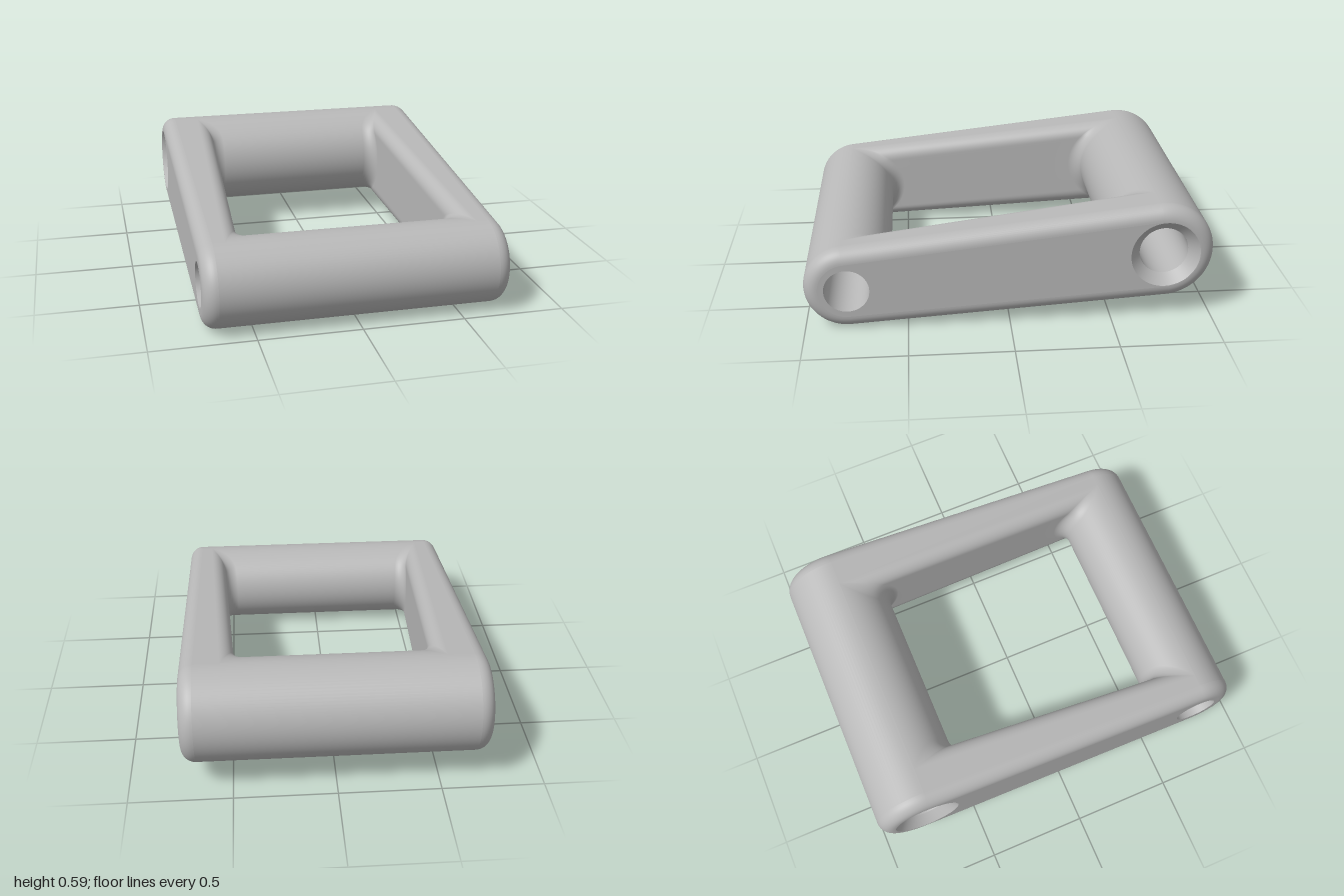
import * as THREE from 'three';

// Bosses: axis position in the side plane, outer radius, bore radius
const FRONT = { z: 0.79, y: 0.21, r: 0.21, bore: 0.11 };
const REAR = { z: -0.755, y: 0.345, r: 0.245, bore: 0.12 };
const HALF = 0.74, EDGE = 0.07, SINK = 0.17, SINK_DEPTH = 0.05;

// Angles of the straight flanks tangent to both bosses
const dz = FRONT.z - REAR.z, dy = REAR.y - FRONT.y;
const lean = Math.atan2(dy, dz);
const spread = Math.asin((REAR.r - FRONT.r) / Math.hypot(dz, dy));
const TOP = lean + spread, BOTTOM = lean - spread;
const Q = Math.PI / 2;

const lerp = THREE.MathUtils.lerp;
const windowX = z => 0.503 + 0.0459 * z;

// Smooth surface through rows of points
function grid(rows, closed = false) {
  const n = rows[0].length, index = [];
  for (let i = 0; i < rows.length - 1; i++) {
    for (let j = 0; j < (closed ? n : n - 1); j++) {
      const k = (j + 1) % n;
      const a = i * n + j, b = i * n + k, c = a + n, d = b + n;
      index.push(a, c, b, b, c, d);
    }
  }
  const g = new THREE.BufferGeometry().setFromPoints(rows.flat());
  g.setIndex(index);
  g.computeVertexNormals();
  return g;
}

// Outer arc of a boss in the side plane, as {z, y}
function arc(boss, from, to, inset) {
  const pts = [];
  for (let i = 0; i <= 48; i++) {
    const a = lerp(from, to, i / 48), r = boss.r - inset;
    pts.push({ z: boss.z + r * Math.cos(a), y: boss.y + r * Math.sin(a) });
  }
  return pts;
}
const frontArc = inset => arc(FRONT, -Q - BOTTOM, Q - TOP, inset);
const rearArc = inset => arc(REAR, Q - TOP, 3 * Q - BOTTOM, inset);
const outline = inset => [...frontArc(inset), ...rearArc(inset)];
const atX = (pts, x) => pts.map(p => new THREE.Vector3(x, p.y, p.z));

// Rounded rim around one side face
function rim(side) {
  const rows = [];
  for (let i = 0; i <= 12; i++) {
    const t = (i / 12) * Q;
    rows.push(atX(outline(EDGE * (1 - Math.cos(t))), side * (HALF - EDGE + EDGE * Math.sin(t))));
  }
  return grid(side > 0 ? rows : rows.reverse(), true);
}

// Flat side face with its two holes
function sideFace(side) {
  const shape = new THREE.Shape(outline(EDGE).map(p => new THREE.Vector2(-side * p.z, p.y)));
  for (const [boss, r] of [[FRONT, FRONT.bore], [REAR, SINK]]) {
    shape.holes.push(new THREE.Path().absarc(-side * boss.z, boss.y, r, 0, 2 * Math.PI, true));
  }
  return new THREE.ShapeGeometry(shape, 32).rotateY(side * Q).translate(side * HALF, 0, 0);
}

// Flat strip on top of or under an arm
function armStrip(side, from, to) {
  const inner = [from, to].map(p => new THREE.Vector3(side * (windowX(p.z) + EDGE), p.y, p.z));
  const outer = atX([from, to], side * (HALF - EDGE));
  return grid(side > 0 ? [inner, outer] : [outer, inner]);
}

// One closed loop of the window wall; u runs from -1 (bottom) to 1 (top)
function windowLoop(u) {
  const s = Math.abs(u);
  const fa = u * (u > 0 ? Q + TOP : Q - BOTTOM);
  const ra = u * (u > 0 ? Q - TOP : Q + BOTTOM);
  const zf = FRONT.z - FRONT.r * Math.cos(fa), yf = FRONT.y + FRONT.r * Math.sin(fa);
  const zr = REAR.z + REAR.r * Math.cos(ra), yr = REAR.y + REAR.r * Math.sin(ra);
  // Arm walls are upright with rounded edges
  const R = 0.228, over = Math.max(0, R * Math.sin(s * Q) - (R - EDGE));
  const inset = EDGE - Math.sqrt(Math.max(0, EDGE * EDGE - over * over));
  const c = 0.065 * (1 - s ** 4);
  const half = [];
  const add = (cut, z) => half.push(new THREE.Vector3(
    windowX(z) + inset - cut, lerp(yr, yf, (z - zr) / (zf - zr)), z));
  for (let i = 0; i <= 8; i++) {
    const a = (i / 8) * Q;
    add(c * (1 - Math.sin(a)), zf - c * (1 - Math.cos(a)));
  }
  for (let i = 1; i < 12; i++) add(0, lerp(zf - c, zr + c, i / 12));
  for (let i = 0; i <= 8; i++) {
    const a = (i / 8) * Q;
    add(c * (1 - Math.cos(a)), zr + c * (1 - Math.sin(a)));
  }
  const other = half.map(p => new THREE.Vector3(-p.x, p.y, p.z)).reverse();
  return [...half, ...other];
}

export function createModel() {
  const group = new THREE.Group();
  const metal = new THREE.MeshStandardMaterial({ color: 0xb8b8b8, side: THREE.DoubleSide });
  metal.name = 'plain grey';
  const add = (name, geometry) => {
    const mesh = new THREE.Mesh(geometry, metal);
    mesh.name = name;
    group.add(mesh);
    return mesh;
  };

  // Cross tubes
  const f = frontArc(0), r = rearArc(0), w = HALF - EDGE;
  add('frontTube', grid([atX(f, -w), atX(f, w)]));
  add('rearTube', grid([atX(r, -w), atX(r, w)]));

  // Side arms
  for (const [side, label] of [[1, 'left'], [-1, 'right']]) {
    add(label + 'ArmTop', armStrip(side, f[48], r[0]));
    add(label + 'ArmUnderside', armStrip(side, r[48], f[0]));
    add(label + 'ArmRim', rim(side));
    add(label + 'ArmFace', sideFace(side));

    // Countersink of the rear bore
    const sink = new THREE.CylinderGeometry(SINK, REAR.bore, SINK_DEPTH, 64, 1, true);
    sink.rotateZ(-side * Q);
    add(label + 'Countersink', sink).position.set(side * (HALF - SINK_DEPTH / 2), REAR.y, REAR.z);
  }

  // Window wall blending tubes and arms
  const loops = [];
  for (let i = -32; i <= 32; i++) loops.push(windowLoop(i / 32));
  add('windowWall', grid(loops, true));

  // Through bores
  for (const [name, boss, length] of [
    ['frontBore', FRONT, 2 * HALF], ['rearBore', REAR, 2 * (HALF - SINK_DEPTH)]]) {
    const bore = new THREE.CylinderGeometry(boss.bore, boss.bore, length, 64, 1, true);
    bore.rotateZ(Q);
    add(name, bore).position.set(0, boss.y, boss.z);
  }
  return group;
}
